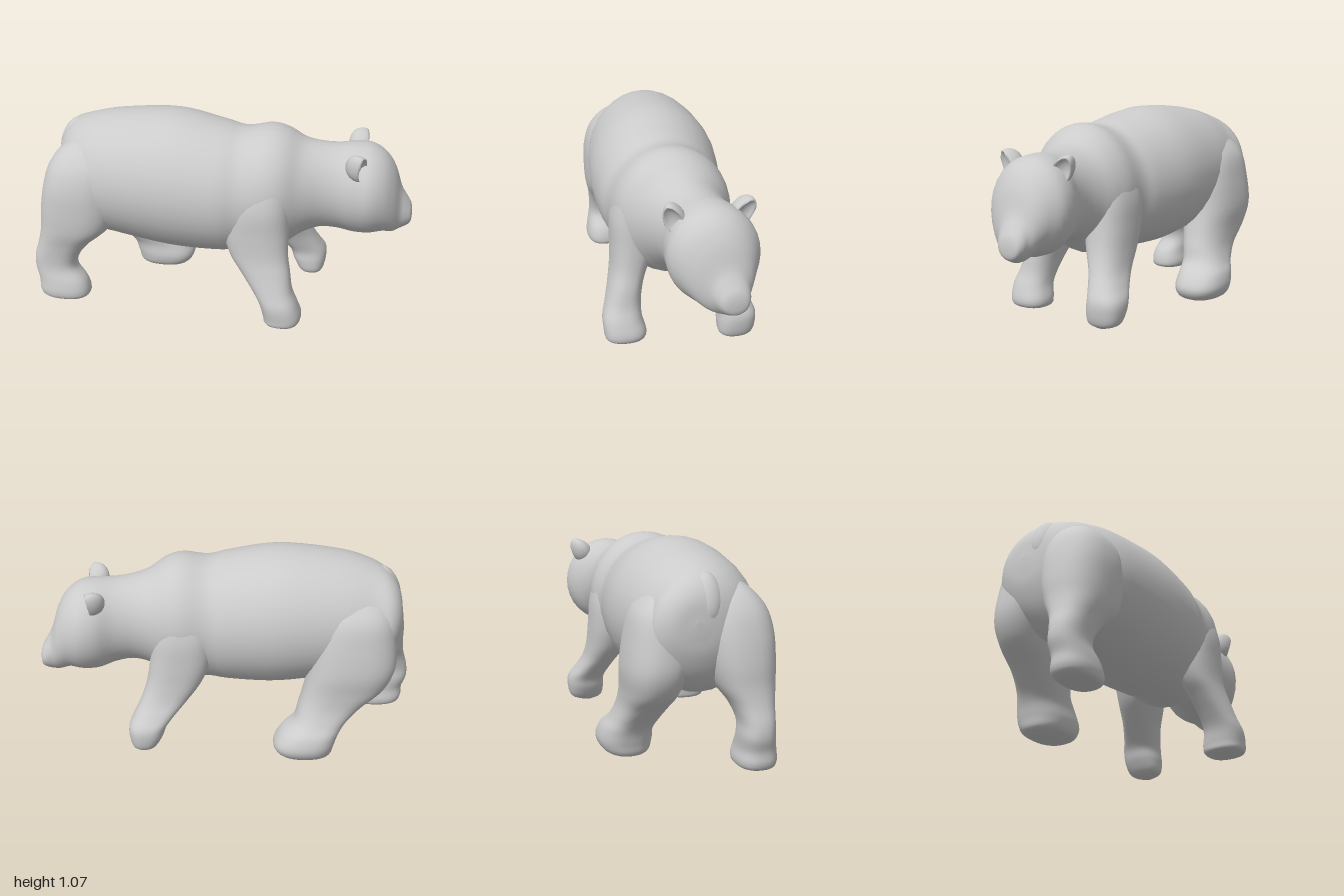
import * as THREE from 'three';

const material = new THREE.MeshStandardMaterial({ color: 0xcccccc, roughness: 0.85 });
const SIDES = 32;

// Smooth skin through sections [x, y, z, ru, rv].
// axis 'x': upright ovals (ru = y, rv = z); axis 'y': flat-lying, slightly squared ovals (ru = z, rv = x).
function loft(name, axis, rows, steps = 5) {
  const spline = (f) => new THREE.CatmullRomCurve3(rows.map(f), false, 'catmullrom', 0.5);
  const centres = spline((r) => new THREE.Vector3(r[0], r[1], r[2]));
  const radii = spline((r) => new THREE.Vector3(r[3], r[4], 0));
  const power = axis === 'x' ? 1 : 0.82;
  const rounded = (s) => Math.sign(s) * Math.abs(s) ** power;
  const n = (rows.length - 1) * steps;
  const pos = [];
  const index = [];
  for (let i = 0; i <= n; i++) {
    const c = centres.getPoint(i / n);
    const r = radii.getPoint(i / n);
    for (let j = 0; j < SIDES; j++) {
      const a = (j / SIDES) * Math.PI * 2;
      const u = rounded(Math.cos(a)) * Math.max(r.x, 0.004);
      const v = rounded(Math.sin(a)) * Math.max(r.y, 0.004);
      if (axis === 'x') pos.push(c.x, c.y + u, c.z + v);
      else pos.push(c.x + v, c.y, c.z + u);
      if (i < n) {
        const p = i * SIDES + j;
        const q = i * SIDES + ((j + 1) % SIDES);
        index.push(p, q, q + SIDES, p, q + SIDES, p + SIDES);
      }
    }
  }
  // close both ends
  for (let j = 1; j < SIDES - 1; j++) {
    index.push(0, j + 1, j);
    index.push(n * SIDES, n * SIDES + j, n * SIDES + j + 1);
  }
  const g = new THREE.BufferGeometry();
  g.setAttribute('position', new THREE.Float32BufferAttribute(pos, 3));
  g.setIndex(index);
  g.computeVertexNormals();
  const mesh = new THREE.Mesh(g, material);
  mesh.name = name;
  return mesh;
}

// Chunky ear, narrowing upward, with a hollow pressed into its forward face
function ear(name, x, y, z, tilt, turn) {
  const g = new THREE.SphereGeometry(1, 24, 18);
  const p = g.attributes.position;
  for (let i = 0; i < p.count; i++) {
    const d = p.getX(i);
    const taper = 1 - 0.2 * p.getY(i);
    p.setZ(i, p.getZ(i) * taper);
    if (d > 0.4) p.setX(i, 0.4 - (d - 0.4) * 0.6);
  }
  g.scale(0.07, 0.078, 0.052);
  g.computeVertexNormals();
  const mesh = new THREE.Mesh(g, material);
  mesh.name = name;
  mesh.position.set(x, y, z);
  mesh.rotation.set(tilt, turn, 0);
  return mesh;
}

export function createModel() {
  const bear = new THREE.Group();
  bear.name = 'bear';

  // One skin from rump over shoulder hump and neck to the low, turned muzzle
  bear.add(loft('bodyAndHead', 'x', [
    [-0.89, 0.73, -0.06, 0.03, 0.03],
    [-0.875, 0.73, -0.05, 0.14, 0.14],
    [-0.82, 0.71, -0.025, 0.24, 0.235],
    [-0.72, 0.69, 0.01, 0.31, 0.285],
    [-0.55, 0.7, 0.025, 0.34, 0.325],
    [-0.25, 0.692, 0.035, 0.373, 0.35],
    [0, 0.672, 0.05, 0.352, 0.33],
    [0.12, 0.667, 0.05, 0.333, 0.302],
    [0.25, 0.678, 0.038, 0.342, 0.302],
    [0.34, 0.685, 0.03, 0.315, 0.28],
    [0.43, 0.688, 0.01, 0.258, 0.23],
    [0.52, 0.692, -0.01, 0.232, 0.198],
    [0.61, 0.685, -0.03, 0.232, 0.195],
    [0.7, 0.676, -0.05, 0.245, 0.22],
    [0.78, 0.67, -0.055, 0.24, 0.225],
    [0.85, 0.652, -0.06, 0.212, 0.19],
    [0.9, 0.607, -0.075, 0.178, 0.145],
    [0.935, 0.555, -0.095, 0.12, 0.1],
    [0.965, 0.533, -0.105, 0.086, 0.082],
    [0.988, 0.52, -0.11, 0.06, 0.064],
    [0.997, 0.515, -0.11, 0.035, 0.04],
    [1, 0.515, -0.11, 0.005, 0.005],
  ]));
  bear.add(ear('earPlusZ', 0.715, 0.855, 0.125, 0.4, -0.4));
  bear.add(ear('earMinusZ', 0.71, 0.86, -0.21, -0.6, 0.3));

  // Stubby tail lying against the rump
  const tail = new THREE.Mesh(new THREE.SphereGeometry(1, 20, 14), material);
  tail.name = 'tail';
  tail.scale.set(0.065, 0.125, 0.075);
  tail.position.set(-0.815, 0.855, 0);
  tail.rotation.z = -0.35;
  bear.add(tail);

  // Legs, each from sole to top of the haunch or shoulder
  bear.add(loft('hindLegPlanted', 'y', [
    [-0.83, 0.025, 0.24, 0.03, 0.05],
    [-0.83, 0.035, 0.24, 0.085, 0.12],
    [-0.835, 0.07, 0.24, 0.1, 0.138],
    [-0.845, 0.13, 0.24, 0.092, 0.13],
    [-0.88, 0.2, 0.23, 0.085, 0.115],
    [-0.872, 0.27, 0.23, 0.085, 0.12],
    [-0.83, 0.35, 0.22, 0.105, 0.14],
    [-0.77, 0.44, 0.2, 0.145, 0.185],
    [-0.745, 0.55, 0.185, 0.168, 0.205],
    [-0.73, 0.68, 0.175, 0.175, 0.2],
    [-0.71, 0.79, 0.165, 0.155, 0.185],
    [-0.69, 0.87, 0.145, 0.115, 0.145],
    [-0.68, 0.92, 0.13, 0.06, 0.07],
    [-0.68, 0.935, 0.12, 0.01, 0.01],
  ]));
  bear.add(loft('hindLegForward', 'y', [
    [-0.4, 0, -0.27, 0.05, 0.08],
    [-0.39, 0.025, -0.275, 0.11, 0.14],
    [-0.385, 0.08, -0.28, 0.135, 0.162],
    [-0.415, 0.15, -0.275, 0.128, 0.155],
    [-0.47, 0.21, -0.25, 0.118, 0.142],
    [-0.525, 0.29, -0.225, 0.118, 0.17],
    [-0.59, 0.38, -0.212, 0.13, 0.21],
    [-0.63, 0.5, -0.2, 0.153, 0.225],
    [-0.635, 0.65, -0.175, 0.162, 0.218],
    [-0.64, 0.78, -0.145, 0.16, 0.195],
    [-0.64, 0.87, -0.11, 0.115, 0.14],
    [-0.64, 0.92, -0.09, 0.06, 0.07],
    [-0.64, 0.935, -0.08, 0.01, 0.01],
  ]));
  bear.add(loft('forelegPlanted', 'y', [
    [0.37, 0.027, 0.31, 0.05, 0.05],
    [0.37, 0.04, 0.31, 0.1, 0.09],
    [0.37, 0.08, 0.31, 0.11, 0.1],
    [0.35, 0.15, 0.32, 0.102, 0.098],
    [0.315, 0.22, 0.31, 0.092, 0.104],
    [0.275, 0.31, 0.29, 0.088, 0.128],
    [0.235, 0.4, 0.265, 0.095, 0.152],
    [0.215, 0.52, 0.235, 0.12, 0.17],
    [0.22, 0.66, 0.2, 0.152, 0.17],
    [0.235, 0.79, 0.16, 0.153, 0.155],
    [0.245, 0.88, 0.13, 0.12, 0.12],
    [0.25, 0.94, 0.1, 0.07, 0.07],
    [0.25, 0.965, 0.09, 0.01, 0.01],
  ]));
  bear.add(loft('forelegRaised', 'y', [
    [0.465, 0.035, -0.25, 0.03, 0.03],
    [0.462, 0.06, -0.255, 0.085, 0.065],
    [0.452, 0.12, -0.26, 0.1, 0.09],
    [0.44, 0.18, -0.26, 0.098, 0.1],
    [0.4, 0.24, -0.235, 0.09, 0.11],
    [0.35, 0.31, -0.205, 0.088, 0.125],
    [0.3, 0.4, -0.175, 0.105, 0.145],
    [0.265, 0.52, -0.155, 0.122, 0.16],
    [0.25, 0.66, -0.135, 0.135, 0.16],
    [0.25, 0.79, -0.095, 0.135, 0.14],
    [0.25, 0.88, -0.065, 0.1, 0.1],
    [0.25, 0.94, -0.05, 0.04, 0.04],
    [0.25, 0.95, -0.04, 0.01, 0.01],
  ]));

  return bear;
}
